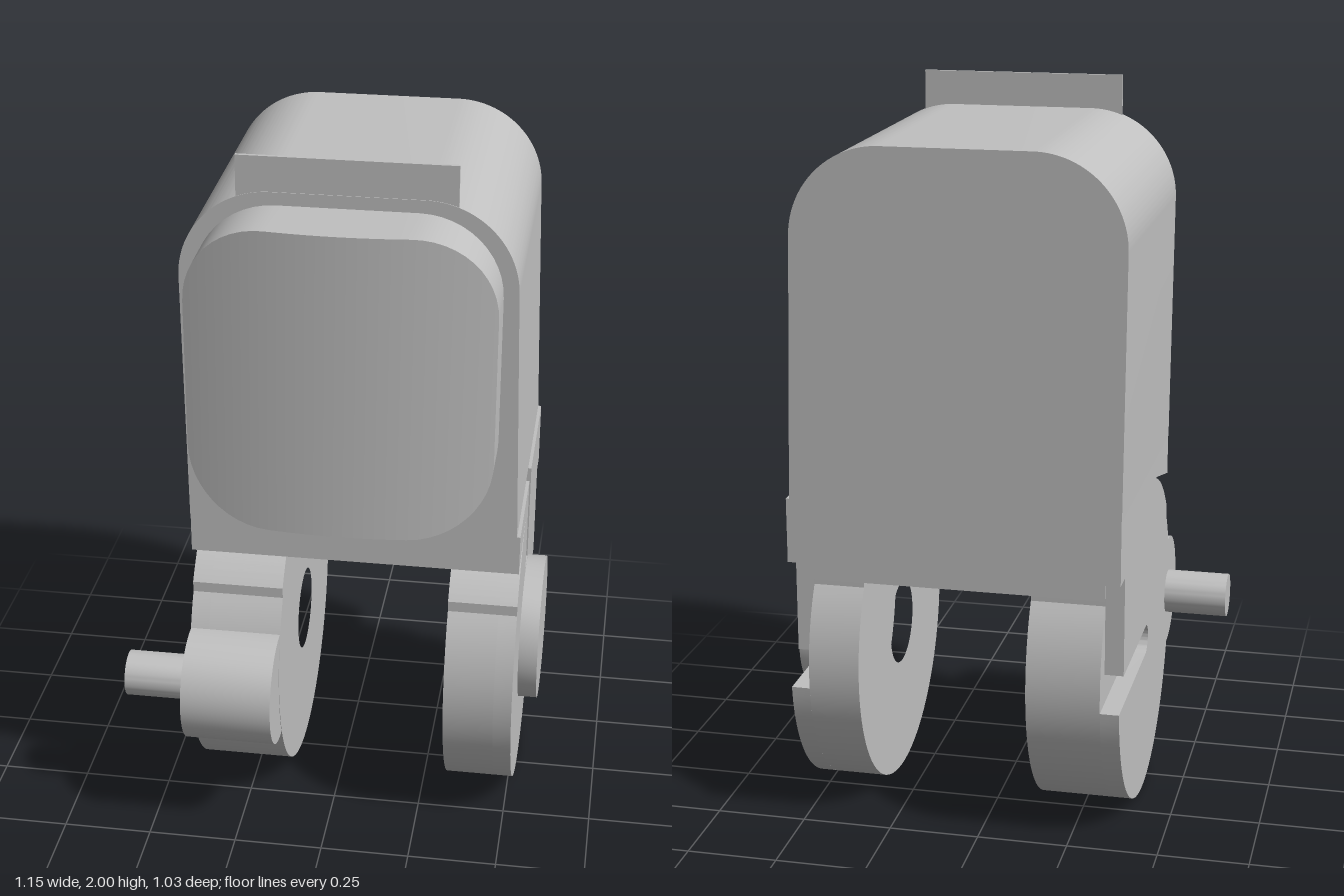
import * as THREE from 'three';
import { toCreasedNormals } from 'three/addons/utils/BufferGeometryUtils.js';

const CZ = -0.07, CY = 0.445; // pivot centre of the arms (z, y)
const R = 0.445, SHOULDER = 0.464;

export function createModel() {
  const group = new THREE.Group();
  const grey = new THREE.MeshStandardMaterial({ color: 0xc0c0c0 });
  grey.name = 'grey';

  const add = (name, geometry) => {
    const mesh = new THREE.Mesh(toCreasedNormals(geometry, 0.5), grey);
    mesh.name = name;
    group.add(mesh);
    return mesh;
  };
  const extrude = (shape, depth) =>
    new THREE.ExtrudeGeometry(shape, { depth, bevelEnabled: false, curveSegments: 32 });
  // Side profile drawn as (z, y), spanning x0 to x1
  const sideways = (name, shape, x0, x1) =>
    add(name, extrude(shape, x1 - x0).rotateY(-Math.PI / 2).translate(x1, 0, 0));
  const rod = (name, r, x0, x1, y, z) =>
    add(name, new THREE.CylinderGeometry(r, r, x1 - x0, 48)
      .rotateZ(Math.PI / 2).translate((x0 + x1) / 2, y, z));
  const lines = (shape, pts) => pts.forEach(([z, y]) => shape.lineTo(z, y));

  // Front edge of an arm: undercut, rounded shoulder, then the disc
  const armFront = (discEnd) => {
    const s = new THREE.Shape();
    s.moveTo(0.295, 0.95);
    lines(s, [[0.295, 0.835], [0.08, 0.888]]);
    s.absarc(CZ, CY, SHOULDER, 1.246, 0.663, true);
    s.lineTo(0.295, 0.7);
    s.absarc(CZ, CY, R, 0.61, discEnd, true);
    return s;
  };
  const back = [[-0.445, 0.49], [-0.445, 0.77], [-0.515, 0.77], [-0.515, 0.95]];

  // Housing with rounded top
  const front = new THREE.Shape();
  front.moveTo(-0.393, 0.95);
  front.lineTo(0.51, 0.95);
  front.lineTo(0.49, 1.66);
  front.absarc(0.245, 1.66, 0.245, 0, Math.PI / 2, false);
  front.absarc(-0.155, 1.66, 0.245, Math.PI / 2, Math.PI, false);
  add('housing', extrude(front, 0.81).translate(0, 0, -0.515));

  // Housing base, hollowed underneath by a cylinder
  const base = new THREE.Shape();
  base.moveTo(0.295, 0.95);
  lines(base, [[0.295, 0.835], [0.08, 0.888]]);
  base.absarc(CZ, CY, 0.462, 1.246, 2.55, false);
  lines(base, [[-0.453, 0.77], [-0.515, 0.77], [-0.515, 0.95]]);
  sideways('housingBase', base, -0.34, 0.468);

  // Inner layers of both arms, with blind pivot holes
  for (const [name, x0, x1] of [['leftArmInner', 0.327, 0.468], ['rightArmInner', -0.34, -0.137]]) {
    const s = armFront(-3.713);
    lines(s, [[-0.445, 0.9], [-0.445, 0.95]]);
    const hole = new THREE.Path();
    hole.absarc(CZ, CY, 0.12, 0, Math.PI * 2, true);
    s.holes.push(hole);
    sideways(name, s, x0, x1);
  }

  // Outer layer of the left arm, with upright channel and rear slot
  const left = armFront(-(Math.PI - 0.09));
  lines(left, [[-0.28, 0.405], [-0.28, 0.49], ...back,
    [-0.108, 0.95], [-0.108, 0.66], [-0.03, 0.66], [-0.03, 0.95]]);
  sideways('leftArmOuter', left, 0.468, 0.519);

  // Outer layer of the right arm, with a round-ended slot
  const right = armFront(-(Math.PI - 0.09));
  right.lineTo(CZ, 0.405);
  right.absarc(CZ, 0.4475, 0.0425, -Math.PI / 2, Math.PI / 2, false);
  lines(right, back);
  sideways('rightArmOuter', right, -0.392, -0.34);

  // Pivot cap, front lug and peg
  rod('pivotCap', 0.21, 0.519, 0.573, CY, CZ);
  rod('lug', 0.164, -0.391, -0.138, CY, 0.355);
  rod('peg', 0.064, -0.575, -0.391, CY, 0.348);

  // Thin tab above the front edge
  add('topTab', new THREE.BoxGeometry(0.573, 0.2, 0.01).translate(0.043, 1.9, 0.288));

  add('frontPanel', panelGeometry());
  return group;
}

// Rounded panel bowed forward across its width, built from upright slices
function panelGeometry() {
  const x0 = -0.36, x1 = 0.45, y0 = 1.02, y1 = 1.87, r = 0.22, mid = (x0 + x1) / 2;
  const slices = [];
  const slice = (x, inset) => {
    const t = (x - mid) / (x1 - mid), z = 0.485 - 0.052 * t * t;
    slices.push([[x, y0 + inset, 0.29], [x, y0 + inset, z], [x, y1 - inset, z], [x, y1 - inset, 0.29]]);
  };
  const N = 12;
  for (let i = 0; i <= N; i++) {
    const a = (i / N) * Math.PI / 2;
    slice(x0 + r - r * Math.cos(a), r - r * Math.sin(a));
  }
  for (let i = 1; i < N; i++) slice(x0 + r + (x1 - x0 - 2 * r) * i / N, 0);
  for (let i = N; i >= 0; i--) {
    const a = (i / N) * Math.PI / 2;
    slice(x1 - r + r * Math.cos(a), r - r * Math.sin(a));
  }
  const pos = [];
  const quad = (a, b, c, d) => pos.push(...a, ...b, ...c, ...a, ...c, ...d);
  for (let i = 0; i < slices.length - 1; i++) {
    const A = slices[i], B = slices[i + 1];
    for (let k = 0; k < 4; k++) {
      const n = (k + 1) % 4;
      quad(A[k], B[k], B[n], A[n]);
    }
  }
  const first = slices[0], last = slices[slices.length - 1];
  quad(first[0], first[1], first[2], first[3]);
  quad(last[1], last[0], last[3], last[2]);
  const g = new THREE.BufferGeometry();
  g.setAttribute('position', new THREE.Float32BufferAttribute(pos, 3));
  return g;
}
